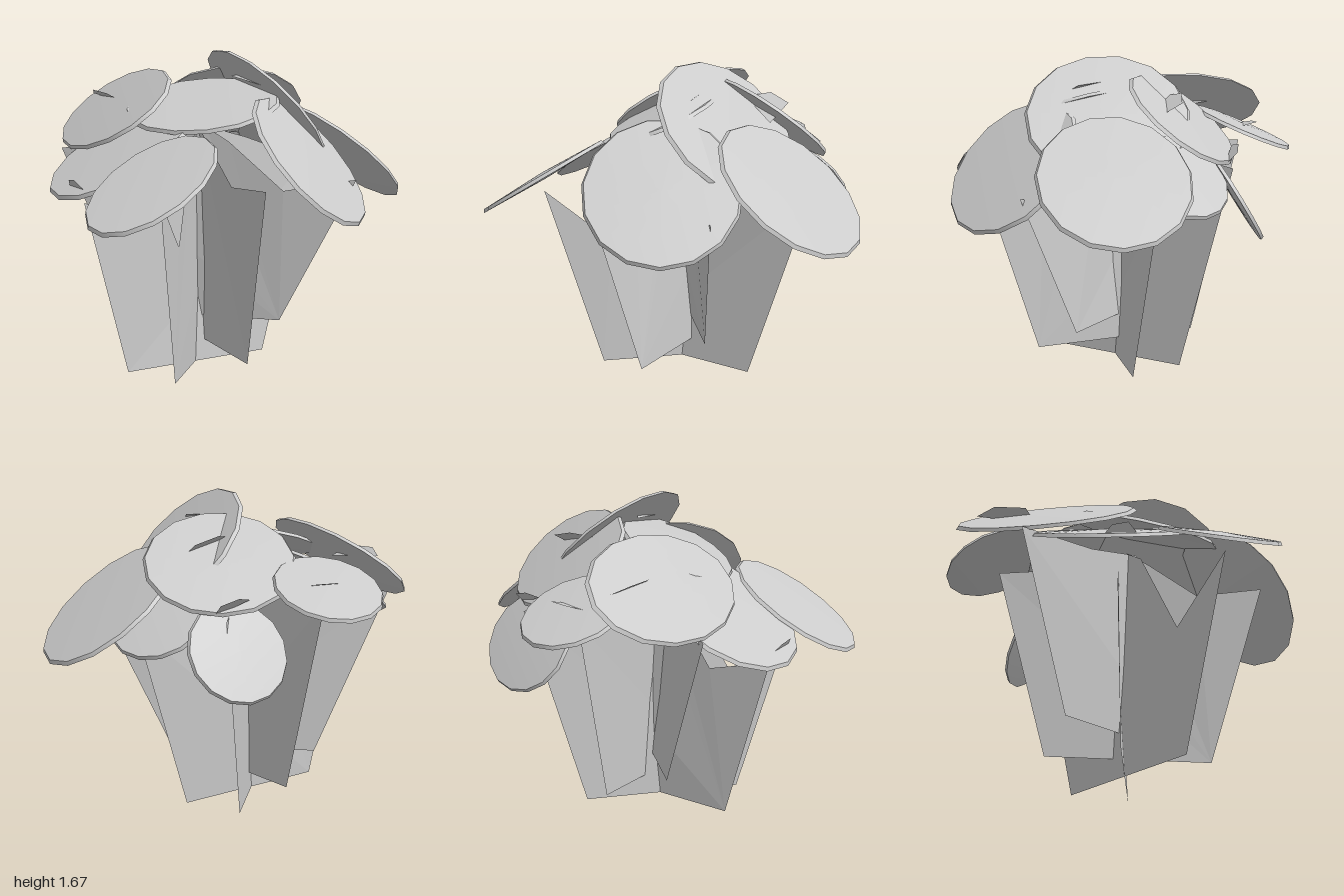
import * as THREE from 'three';
import { toCreasedNormals } from 'three/addons/utils/BufferGeometryUtils.js';

const leafMaterial = new THREE.MeshStandardMaterial({ color: 0xcccccc, side: THREE.DoubleSide });
const flatMaterial = new THREE.MeshStandardMaterial({ color: 0xcccccc, side: THREE.DoubleSide, flatShading: true });

// Thin oval leaf: length runs down the slope, width runs level across it
function leaf(name, centre, length, width, normal) {
  const profile = [[0, -0.018], [1, -0.01], [0.97, 0.008], [0, 0.02]];
  const geometry = new THREE.LatheGeometry(profile.map(p => new THREE.Vector2(...p)), 15);
  geometry.scale(width, 1, length);
  const up = new THREE.Vector3(...normal).normalize();
  const across = new THREE.Vector3(0, 1, 0).cross(up).normalize();
  const down = new THREE.Vector3().crossVectors(across, up);
  const mesh = new THREE.Mesh(toCreasedNormals(geometry, 0.6), leafMaterial);
  mesh.quaternion.setFromRotationMatrix(new THREE.Matrix4().makeBasis(across, up, down));
  mesh.position.set(...centre);
  mesh.name = name;
  return mesh;
}

// Flat panel with its outline given as corners fanned from the first one
function panel(name, corners) {
  const geometry = new THREE.BufferGeometry();
  geometry.setAttribute('position', new THREE.Float32BufferAttribute(corners.flat(), 3));
  const index = [];
  for (let i = 1; i < corners.length - 1; i++) index.push(0, i, i + 1);
  geometry.setIndex(index);
  geometry.computeVertexNormals();
  const mesh = new THREE.Mesh(geometry, flatMaterial);
  mesh.name = name;
  return mesh;
}

export function createModel() {
  const group = new THREE.Group();
  group.name = 'leafyPlant';

  // Leaves: name, centre, length, width, direction of the top
  const leaves = [
    ['frontRightLeaf', [-0.67, 1.07, 0.55], 0.39, 0.31, [-0.5, 0.84, 0.16]],
    ['frontLeaf', [0.19, 1.14, 0.64], 0.41, 0.4, [0.43, 0.65, 0.63]],
    ['leftLeaf', [0.66, 1.13, 0.2], 0.44, 0.39, [0.62, 0.78, 0.04]],
    ['upperLeftLeaf', [0.24, 1.38, 0.15], 0.41, 0.43, [0.74, 0.67, 0.08]],
    ['upperFrontLeaf', [-0.16, 1.4, 0.15], 0.32, 0.43, [-0.32, 0.92, 0.2]],
    ['upperRightLeaf', [-0.41, 1.36, -0.36], 0.33, 0.49, [-0.62, 0.78, -0.06]],
    ['rightLeaf', [-0.56, 1.17, 0], 0.42, 0.41, [-0.52, 0.85, 0.02]],
    ['backLeaf', [-0.1, 1.27, -0.67], 0.29, 0.28, [0.08, 0.93, -0.38]],
    ['upperBackLeaf', [0.26, 1.37, -0.24], 0.34, 0.39, [0.32, 0.77, -0.55]],
    ['lowLeftLeaf', [0.56, 1.12, -0.15], 0.27, 0.28, [0.6, 0.74, -0.3]],
    ['lowBackLeaf', [0.33, 0.97, -0.51], 0.27, 0.27, [0.1, 0.52, -0.85]],
  ];
  leaves.forEach(l => group.add(leaf(...l)));

  // Crossed upright stem panels, flaring upwards to notched tops.
  // Each has two bottom corners, two top corners and the notch height.
  const stems = [
    [[-0.55, 0, 0.05], [0.3, 0, 0.03], [0.64, 1.05, -0.04], [-0.79, 0.92, 0.05], 0.82],
    [[-0.44, 0, 0.36], [0.15, 0, -0.26], [0.38, 1.12, -0.48], [-0.64, 1, 0.58], 0.7],
    [[-0.08, 0.08, 0.48], [-0.07, 0.14, -0.38], [-0.1, 1.2, -0.65], [-0.16, 1.02, 0.77], 1],
    [[0.22, 0.24, 0.32], [-0.36, 0.25, -0.24], [-0.69, 1.15, -0.44], [0.48, 1.02, 0.64], 0.95],
  ];
  stems.forEach(([a, b, c, d, notch], i) => {
    const along = (t, y) => [d[0] + (c[0] - d[0]) * t, y, d[2] + (c[2] - d[2]) * t];
    group.add(panel('stem' + (i + 1), [a, b, c, along(0.7, 1.2), along(0.5, 1.28), along(0.42, 1.2), along(0.24, notch), d]));
  });

  // Stem tips that poke through the leaves: centre, half run, rise
  const tips = [
    [[-0.36, 1.41, -0.57], [0.02, -0.02, 0.16], [-0.05, 0.03, 0.02]],
    [[0.09, 1.53, 0.22], [0.02, -0.02, 0.13], [0.03, 0.02, 0]],
    [[0.28, 1.45, -0.15], [0.11, -0.05, 0.05], [0.05, 0.04, -0.08]],
    [[-0.08, 1.29, -0.67], [0.09, 0, 0.02], [0.05, 0.02, -0.06]],
    [[0.35, 1.2, -0.48], [0.08, -0.04, 0.04], [0.03, 0.03, -0.03]],
    [[-0.85, 1.02, 0.07], [0, 0, 0.08], [-0.02, 0.03, 0]],
  ];
  tips.forEach(([c, run, rise], i) => {
    const at = (s, t) => c.map((v, k) => v + s * run[k] + t * rise[k]);
    group.add(panel('stemTip' + (i + 1), [at(-1, -0.5), at(1, -0.5), at(0.5, 1), at(-0.5, 0.7)]));
  });
  return group;
}
